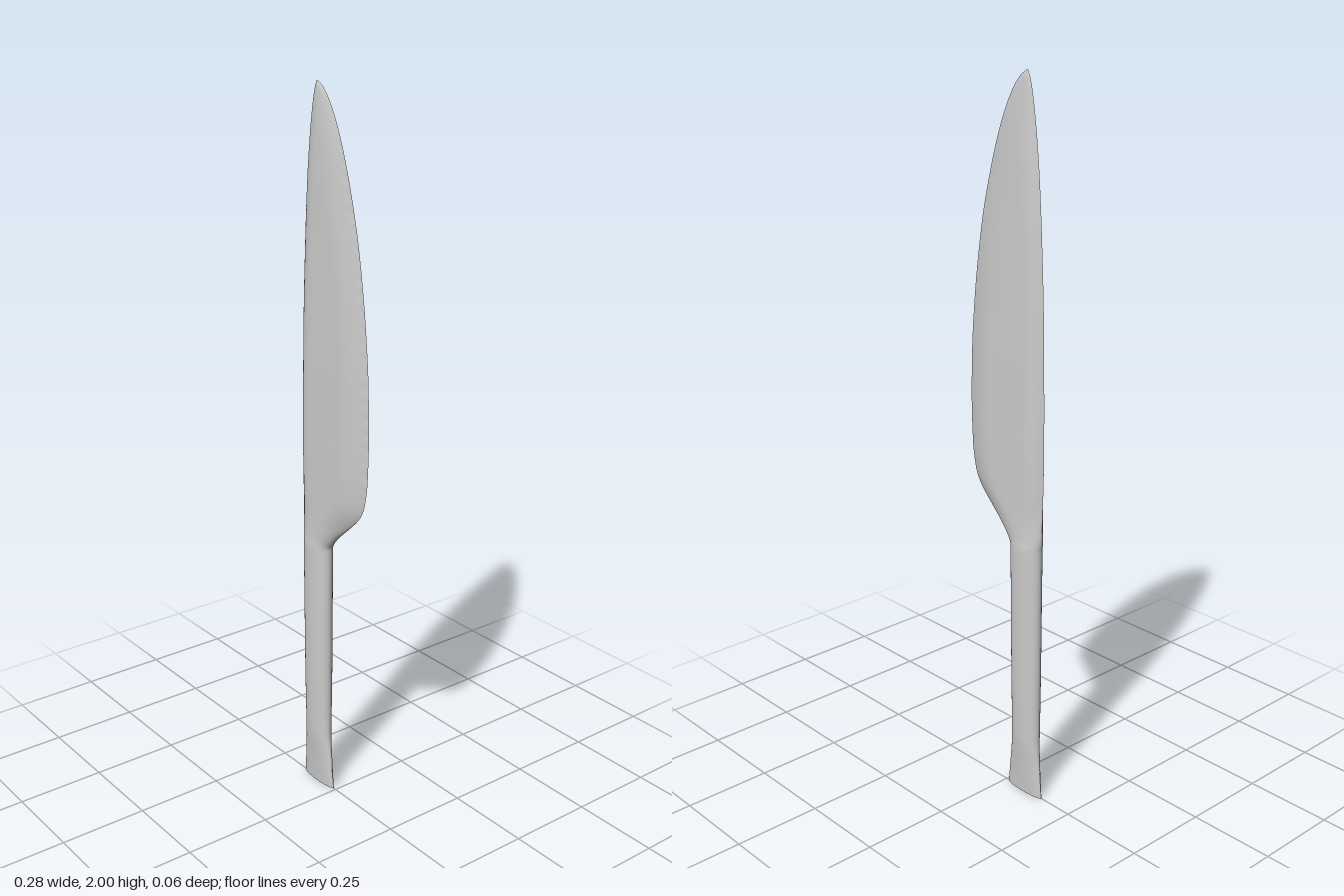
import * as THREE from 'three';

// Stations up the knife: [y, spine x, cutting edge x, half thickness]
const stations = [
  [0, -0.143, -0.01, 0.012], [0.08, -0.136, -0.019, 0.017], [0.18, -0.129, -0.029, 0.025],
  [0.4, -0.13, -0.027, 0.029], [0.755, -0.132, -0.023, 0.03], [0.775, -0.135, -0.01, 0.028],
  [0.9, -0.14, 0.113, 0.026], [0.93, -0.141, 0.125, 0.026], [1.0, -0.142, 0.136, 0.026],
  [1.12, -0.142, 0.14, 0.025], [1.25, -0.14, 0.137, 0.024], [1.4, -0.137, 0.125, 0.022],
  [1.6, -0.128, 0.096, 0.019], [1.75, -0.118, 0.06, 0.016], [1.87, -0.105, 0.02, 0.012],
  [1.95, -0.092, -0.02, 0.007], [1.985, -0.083, -0.048, 0.004], [2, -0.076, -0.07, 0.001],
];

// Monotone cubic interpolation of one station column
function sample(y, c) {
  const n = stations.length;
  let i = 0;
  while (i < n - 2 && y > stations[i + 1][0]) i++;
  const slope = (k) => (stations[k + 1][c] - stations[k][c]) / (stations[k + 1][0] - stations[k][0]);
  const tangent = (k) => {
    if (k === 0) return slope(0);
    if (k === n - 1) return slope(n - 2);
    const a = slope(k - 1), b = slope(k);
    return a * b <= 0 ? 0 : (2 * a * b) / (a + b);
  };
  const h = stations[i + 1][0] - stations[i][0];
  const t = (y - stations[i][0]) / h, t2 = t * t, t3 = t2 * t;
  return (2 * t3 - 3 * t2 + 1) * stations[i][c] + (t3 - 2 * t2 + t) * h * tangent(i)
    + (3 * t2 - 2 * t3) * stations[i + 1][c] + (t3 - t2) * h * tangent(i + 1);
}

const bulge = (s, power) => (s >= 1 ? 1 : 1 - Math.pow(1 - Math.max(s, 0), power));

// Half thickness at fraction u across the section: oval handle, bevelled blade
function halfThickness(y, u, width, t) {
  const blade = THREE.MathUtils.smoothstep(y, 0.75, 0.92);
  const oval = Math.sqrt(Math.max(0, 1 - (2 * u - 1) ** 2));
  const a = u * width, b = (1 - u) * width;
  const bevel = bulge(a / Math.min(0.05, width * 0.4), 2) * bulge(b / Math.min(0.09, width * 0.5), 1.7);
  let z = t * THREE.MathUtils.lerp(oval, bevel, blade);
  // Fine serrations ground into the cutting edge
  if (y > 0.97 && y < 1.88) {
    const tooth = Math.max(0, Math.sin((y * Math.PI * 2) / 0.04));
    z *= 1 - 0.4 * tooth * (1 - THREE.MathUtils.smoothstep(b, 0.004, 0.02));
  }
  return z;
}

// Rows every 0.008, closer together at the shoulder and tip
const rows = [];
for (let y = 0; y < 1.9; y += 0.008) rows.push(y);
for (let k = 0; k <= 24; k++) rows.push(2 - 0.1 * (1 - k / 24) ** 2);
const COLS = 24;

// Position across a section, columns crowded toward both edges
function point(y, j, side) {
  const u = (1 - Math.cos((Math.PI * j) / COLS)) / 2;
  const l = sample(y, 1), r = sample(y, 2);
  return [l + (r - l) * u, y, side * halfThickness(y, u, r - l, sample(y, 3))];
}

function buildGeometry(positions, index) {
  const g = new THREE.BufferGeometry();
  g.setAttribute('position', new THREE.Float32BufferAttribute(positions, 3));
  g.setIndex(index);
  g.computeVertexNormals();
  return g;
}

// Grid of quads; flip reverses the winding
function grid(lines, flip) {
  const index = [], w = lines[0].length;
  for (let i = 0; i < lines.length - 1; i++) {
    for (let j = 0; j < w - 1; j++) {
      const a = i * w + j, b = a + 1, c = a + w, d = c + 1;
      if (flip) index.push(a, c, b, b, c, d);
      else index.push(a, b, c, b, d, c);
    }
  }
  return buildGeometry(lines.flat(2), index);
}

export function createModel() {
  const model = new THREE.Group();
  model.name = 'knife';
  const material = new THREE.MeshStandardMaterial({ color: 0xcccccc, side: THREE.DoubleSide });
  const columns = Array.from({ length: COLS + 1 }, (_, j) => j);

  const add = (name, geometry) => {
    const mesh = new THREE.Mesh(geometry, material);
    mesh.name = name;
    model.add(mesh);
  };

  // Front and back faces, meeting in a sharp seam along spine and edge
  for (const side of [1, -1]) {
    const lines = rows.map((y) => columns.map((j) => point(y, j, side)));
    add(side > 0 ? 'frontFace' : 'backFace', grid(lines, side < 0));
  }

  // Flat handle end and the tiny cap at the tip
  for (const [name, y, flip] of [['handleEnd', 0, true], ['tipCap', 2, false]]) {
    const lines = [1, -1].map((side) => columns.map((j) => point(y, j, side)));
    add(name, grid(lines, flip));
  }
  return model;
}
